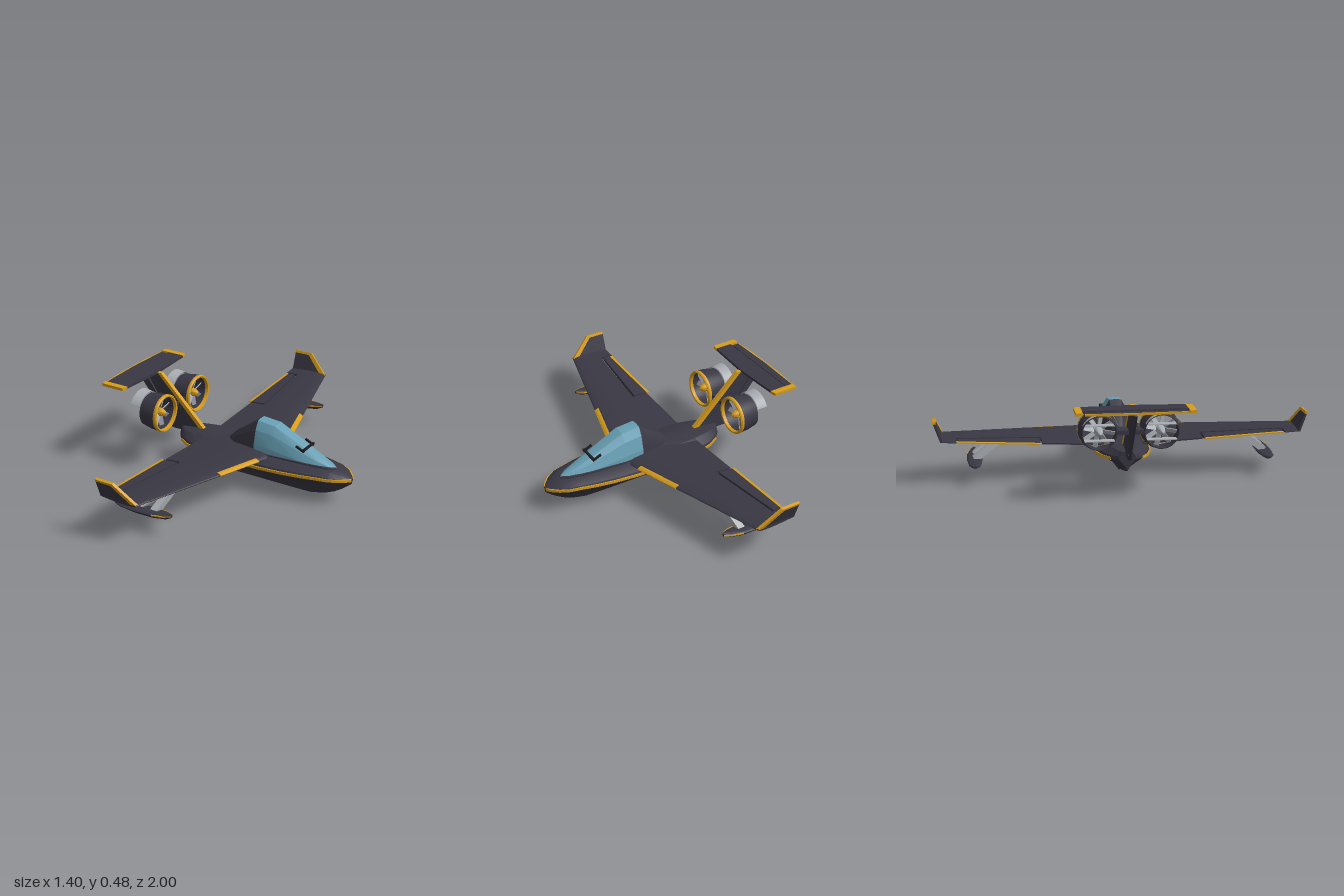
import * as THREE from 'three';
import { toCreasedNormals } from 'three/addons/utils/BufferGeometryUtils.js';

const mat = (name, color, side = THREE.FrontSide) => {
  const m = new THREE.MeshStandardMaterial({ color, side });
  m.name = name;
  return m;
};

// Skin through rings of [x, y, z] points, capped, always facing outward
function loft(rings, crease = 0.5) {
  const tris = [], n = rings[0].length;
  const mid = r => [0, 1, 2].map(k => r.reduce((s, p) => s + p[k], 0) / n);
  for (let i = 0; i < rings.length - 1; i++) for (let j = 0; j < n; j++) {
    const a = rings[i][j], b = rings[i][(j + 1) % n];
    const c = rings[i + 1][j], d = rings[i + 1][(j + 1) % n];
    tris.push([a, b, c], [b, d, c]);
  }
  const first = rings[0], last = rings[rings.length - 1], c0 = mid(first), c1 = mid(last);
  for (let j = 0; j < n; j++) {
    tris.push([first[(j + 1) % n], first[j], c0], [last[j], last[(j + 1) % n], c1]);
  }
  const v = p => new THREE.Vector3(...p).sub(new THREE.Vector3(...c0));
  const volume = tris.reduce((s, [a, b, c]) => s + v(a).dot(v(b).cross(v(c))), 0);
  if (volume < 0) tris.forEach(t => t.reverse());
  const g = new THREE.BufferGeometry();
  g.setAttribute('position', new THREE.Float32BufferAttribute(tris.flat(2), 3));
  return toCreasedNormals(g, crease);
}

// Flat plate: polygon corners thickened along a direction
function slab(corners, dir, t) {
  const shift = s => corners.map(p => p.map((q, k) => q + dir[k] * s * t / 2));
  return loft([shift(-1), shift(1)], 0.1);
}

// Piecewise linear interpolation through rows keyed by their first entry
function sample(rows, x) {
  let i = 0;
  while (i < rows.length - 2 && x > rows[i + 1][0]) i++;
  const a = rows[i], b = rows[i + 1], u = (x - a[0]) / (b[0] - a[0]);
  return a.map((q, k) => q + (b[k] - q) * u);
}

export function createModel() {
  const dark = mat('charcoalPaint', 0x393743);
  const gold = mat('goldTrim', 0xd69c1c);
  const glass = mat('blueGlass', 0x68a0b5);
  const grey = mat('lightGreyMetal', 0xa9adb3, THREE.DoubleSide);
  const black = mat('blackFrame', 0x1d1c22);
  const model = new THREE.Group();
  const add = (name, geometry, material, parent = model) => {
    const m = new THREE.Mesh(geometry, material);
    m.name = name;
    parent.add(m);
    return m;
  };
  // Close a half outline of [z, y] about the centreline
  const mirrorRing = (x, half) => [
    ...half.map(([z, y]) => [x, y, z]),
    ...half.slice(1, -1).reverse().map(([z, y]) => [x, y, -z]),
  ];

  // Hull stations: x, half width, keel y, chine y, deck y
  const hull = [
    [-0.355, 0.045, 0.09, 0.155, 0.2], [-0.32, 0.085, 0.082, 0.152, 0.205],
    [-0.26, 0.12, 0.066, 0.15, 0.21], [-0.18, 0.145, 0.046, 0.15, 0.213],
    [-0.022, 0.158, 0.012, 0.15, 0.213], [-0.015, 0.158, 0.002, 0.15, 0.213],
    [0.22, 0.163, 0.002, 0.152, 0.208], [0.36, 0.15, 0.002, 0.153, 0.203],
    [0.46, 0.132, 0.004, 0.153, 0.2], [0.54, 0.112, 0.022, 0.153, 0.195],
    [0.6, 0.098, 0.048, 0.152, 0.19], [0.65, 0.069, 0.08, 0.149, 0.173],
    [0.685, 0.035, 0.108, 0.145, 0.16], [0.7, 0.012, 0.122, 0.142, 0.152],
  ];
  add('hull', loft(hull.map(([x, w, k, c, d]) => mirrorRing(x, [
    [0, k], [w * 0.27, k + (c - k) * 0.4], [w * 0.66, k + (c - k) * 0.72], [w, c],
    [w * 0.95, c + (d - c) * 0.35], [w * 0.6, c + (d - c) * 0.88], [0, d],
  ]))), dark);
  add('chineStripe', loft(hull.slice(1).map(([x, w, , c]) => mirrorRing(x, [
    [0, c - 0.006], [w + 0.003, c - 0.006], [w + 0.003, c + 0.009], [0, c + 0.009],
  ]))), gold);

  // Cabin stations: x, half width, top y
  const cabin = [
    [-0.05, 0.035, 0.212], [0, 0.055, 0.262], [0.145, 0.082, 0.365], [0.25, 0.086, 0.355],
    [0.4, 0.073, 0.285], [0.5, 0.058, 0.238], [0.57, 0.038, 0.207], [0.61, 0.01, 0.19],
  ];
  const cabinRing = ([x, w, t]) => mirrorRing(x, [
    [0, 0.165], [w, 0.17], [w * 0.96, 0.17 + (t - 0.17) * 0.35],
    [w * 0.72, 0.17 + (t - 0.17) * 0.75], [w * 0.4, t - 0.003], [0, t],
  ]);
  add('cabinFairing', loft(cabin.slice(0, 3).map(cabinRing), 0.3), dark);
  add('canopyGlass', loft(cabin.slice(2).map(cabinRing), 0.2), glass);
  add('canopySill', loft(cabin.slice(2).map(([x, w]) => mirrorRing(x, [
    [0, 0.17], [w + 0.01, 0.17], [w + 0.006, 0.205], [0, 0.205],
  ].map(([z, y]) => [z, Math.min(y, sample(hull, x)[4] + 0.003)]))), 0.2), dark);
  const handle = new THREE.Group();
  handle.name = 'canopyHandle';
  model.add(handle);
  add('handleBar', new THREE.BoxGeometry(0.012, 0.01, 0.11), black, handle).position.set(0.437, 0.268, 0);
  for (const s of [-1, 1]) {
    const leg = add('handleLeg', new THREE.BoxGeometry(0.055, 0.01, 0.01), black, handle);
    leg.position.set(0.415, 0.269, s * 0.052);
    leg.rotation.z = -0.42;
  }

  // Fin, rudder and leading edge
  const finPlate = pts => pts.map(([x, y]) => [x, y, 0]);
  add('fin', slab(finPlate([[-0.22, 0.2], [-0.5, 0.475], [-0.605, 0.475], [-0.42, 0.2],
    [-0.45, 0.2], [-0.43, 0.17], [-0.34, 0.17]]), [0, 0, 1], 0.02), dark);
  add('finLeadingEdge', slab(finPlate([[-0.215, 0.205], [-0.5, 0.483], [-0.525, 0.483], [-0.25, 0.205]]),
    [0, 0, 1], 0.024), gold);
  add('rudder', slab(finPlate([[-0.665, 0.455], [-0.605, 0.455], [-0.435, 0.205], [-0.46, 0.205]]),
    [0, 0, 1], 0.014), dark);

  // Tailplane, elevator and tips
  const flat = (y, pts) => pts.map(([x, z]) => [x, y, z]);
  const up = [0, 1, 0];
  add('tailplane', slab(flat(0.478, [[-0.53, 0], [-0.545, 0.265], [-0.64, 0.265], [-0.64, -0.265], [-0.545, -0.265]]),
    up, 0.014), dark);
  add('elevator', slab(flat(0.476, [[-0.648, 0.255], [-0.688, 0.255], [-0.698, 0.12], [-0.698, -0.12],
    [-0.688, -0.255], [-0.648, -0.255]]), up, 0.009), dark);
  add('elevatorTrim', slab(flat(0.476, [[-0.685, 0.256], [-0.69, 0.256], [-0.7, 0.12], [-0.7, -0.12],
    [-0.69, -0.256], [-0.685, -0.256], [-0.694, -0.12], [-0.694, 0.12]]), up, 0.011), gold);

  // Wing outline: thickness sampled over the full chord at each span station
  const leading = z => 0.23 - (z - 0.17) * 0.266;
  const hinge = z => -0.088 - (z - 0.43) * 0.09;
  const wingRing = (s, z, x0, x1, grow = 0) => {
    const le = leading(z), chord = le + 0.215, t = 0.046 - 0.024 * z, top = [], low = [];
    for (let i = 0; i <= 10; i++) {
      const x = x0 + (x1 - x0) * (i / 10) ** 1.7;
      const u = Math.max(0, (le - x) / chord);
      const h = 5 * t * (0.2969 * Math.sqrt(u) - 0.126 * u - 0.3516 * u ** 2 + 0.2843 * u ** 3 - 0.1015 * u ** 4);
      const y = 0.187 + 0.052 * z;
      top.push([x, y + h + grow, s * z]);
      low.unshift([x, y - h - grow, s * z]);
    }
    return [...top, ...low];
  };

  for (const s of [-1, 1]) {
    const side = new THREE.Group();
    side.name = s > 0 ? 'wingPositiveZ' : 'wingNegativeZ';
    model.add(side);
    const ring = (z, a, b, grow) => wingRing(s, z, a, b, grow);
    add('innerWing', loft([0.06, 0.43].map(z => ring(z, leading(z), -0.182))), dark, side);
    add('midWing', loft([0.43, 0.88].map(z => ring(z, leading(z), hinge(z)))), dark, side);
    add('outerWing', loft([0.88, 0.965].map(z => ring(z, leading(z), -0.203))), dark, side);
    add('flap', loft([0.44, 0.872].map(z => ring(z, hinge(z) - 0.013, -0.185))), dark, side);
    add('flapTrim', loft([0.44, 0.872].map(z => ring(z, -0.185, -0.2, 0.001))), gold, side);
    add('wingLeadingEdge', loft([0.165, 0.43].map(z =>
      ring(z, leading(z) + 0.003, leading(z) - 0.022, 0.0015))), gold, side);

    // Winglet with trimmed front and top
    const w = (x, v) => [x, 0.237 + v * 0.108, s * (0.957 + v * 0.038)];
    const out = [0, -0.33, s * 0.94];
    add('winglet', slab([w(0.015, 0), w(-0.1, 0.9), w(-0.202, 0.9), w(-0.202, 0)], out, 0.012), dark, side);
    add('wingletFront', slab([w(0.02, 0), w(-0.096, 1), w(-0.115, 0.9), w(-0.015, 0)], out, 0.015), gold, side);
    add('wingletTop', slab([w(-0.096, 1), w(-0.202, 1), w(-0.202, 0.87), w(-0.11, 0.87)], out, 0.015), gold, side);

    // Float: x, half width, keel y, top y
    const pod = [[-0.245, 0.012, 0.1, 0.112], [-0.21, 0.032, 0.09, 0.116], [-0.1, 0.042, 0.081, 0.118],
      [0, 0.04, 0.082, 0.122], [0.06, 0.028, 0.092, 0.125], [0.1, 0.008, 0.112, 0.128]];
    const podRing = ([x, hw, k, t]) => mirrorRing(x, [[0, k], [hw * 0.7, k + 0.4 * (t - k)],
      [hw, t - 0.006], [hw * 0.8, t], [0, t + 0.004]]).map(([a, b, c]) => [a, b, c + s * 0.785]);
    add('float', loft(pod.map(podRing)), dark, side);
    add('floatTrim', loft(pod.slice(3).map(([x, hw, , t]) => mirrorRing(x, [
      [0, t - 0.009], [hw + 0.002, t - 0.009], [hw + 0.002, t - 0.003], [0, t - 0.003],
    ]).map(([a, b, c]) => [a, b, c + s * 0.785]))), gold, side);

    // N-shaped struts: lower x, upper x
    for (const [lo, hi] of [[-0.1, -0.085], [-0.1, 0.02], [-0.005, 0.025]]) {
      const a = [lo, 0.117, s * 0.785], b = [hi, 0.208, s * 0.665];
      const bar = [[a[0] - 0.019, a[1], a[2]], [a[0] + 0.019, a[1], a[2]],
        [b[0] + 0.019, b[1], b[2]], [b[0] - 0.019, b[1], b[2]]];
      add('floatStrut', slab(bar, [0, 0.8, s * 0.6], lo + 0.1 || hi < 0 ? 0.036 : 0.015), grey, side);
    }

    // Ducted fan, built along x about its own centre
    const fan = new THREE.Group();
    fan.name = 'ductedFan';
    fan.position.set(0, 0.328, s * 0.16);
    side.add(fan);
    const turned = pts => toCreasedNormals(new THREE.LatheGeometry(
      pts.map(([x, r]) => new THREE.Vector2(r, x)), 32).rotateZ(-Math.PI / 2), 0.6);
    add('duct', turned([[-0.48, 0.086], [-0.48, 0.09], [-0.43, 0.1], [-0.38, 0.104],
      [-0.38, 0.09], [-0.43, 0.088], [-0.48, 0.086]]), dark, fan);
    add('ductLip', turned([[-0.381, 0.09], [-0.381, 0.105], [-0.368, 0.106], [-0.361, 0.101],
      [-0.363, 0.093], [-0.381, 0.09]]), gold, fan);
    add('spinner', turned([[-0.425, 0], [-0.425, 0.023], [-0.395, 0.022], [-0.375, 0.014], [-0.365, 0]]), gold, fan);
    add('motor', turned([[-0.51, 0], [-0.48, 0.016], [-0.425, 0.024], [-0.425, 0]]), grey, fan);
    for (let i = 0; i < 8; i++) {
      const blade = add('fanBlade', new THREE.BoxGeometry(0.004, 0.072, 0.026)
        .rotateY(0.6).translate(0, 0.053, 0), grey, fan);
      blade.position.x = -0.41;
      blade.rotation.x = i * Math.PI / 4 + 0.2;
    }
    // Exhaust deflector arc and guide vanes
    add('deflector', new THREE.CylinderGeometry(0.099, 0.106, 0.055, 20, 1, true, Math.PI * 7 / 6, Math.PI * 2 / 3)
      .rotateZ(-Math.PI / 2), grey, fan).position.x = -0.507;
    for (const y of [-0.04, 0.04]) {
      add('guideVane', new THREE.BoxGeometry(0.045, 0.004, 0.155), grey, fan).position.set(-0.465, y, 0);
    }
    add('fanPylon', new THREE.BoxGeometry(0.09, 0.022, 0.075), dark, side).position.set(-0.43, 0.328, s * 0.032);
    add('tailplaneTip', slab(flat(0.478, [[-0.542, s * 0.265], [-0.55, s * 0.3], [-0.688, s * 0.3],
      [-0.69, s * 0.265]]), up, 0.015), gold, side);
  }
  return model;
}
